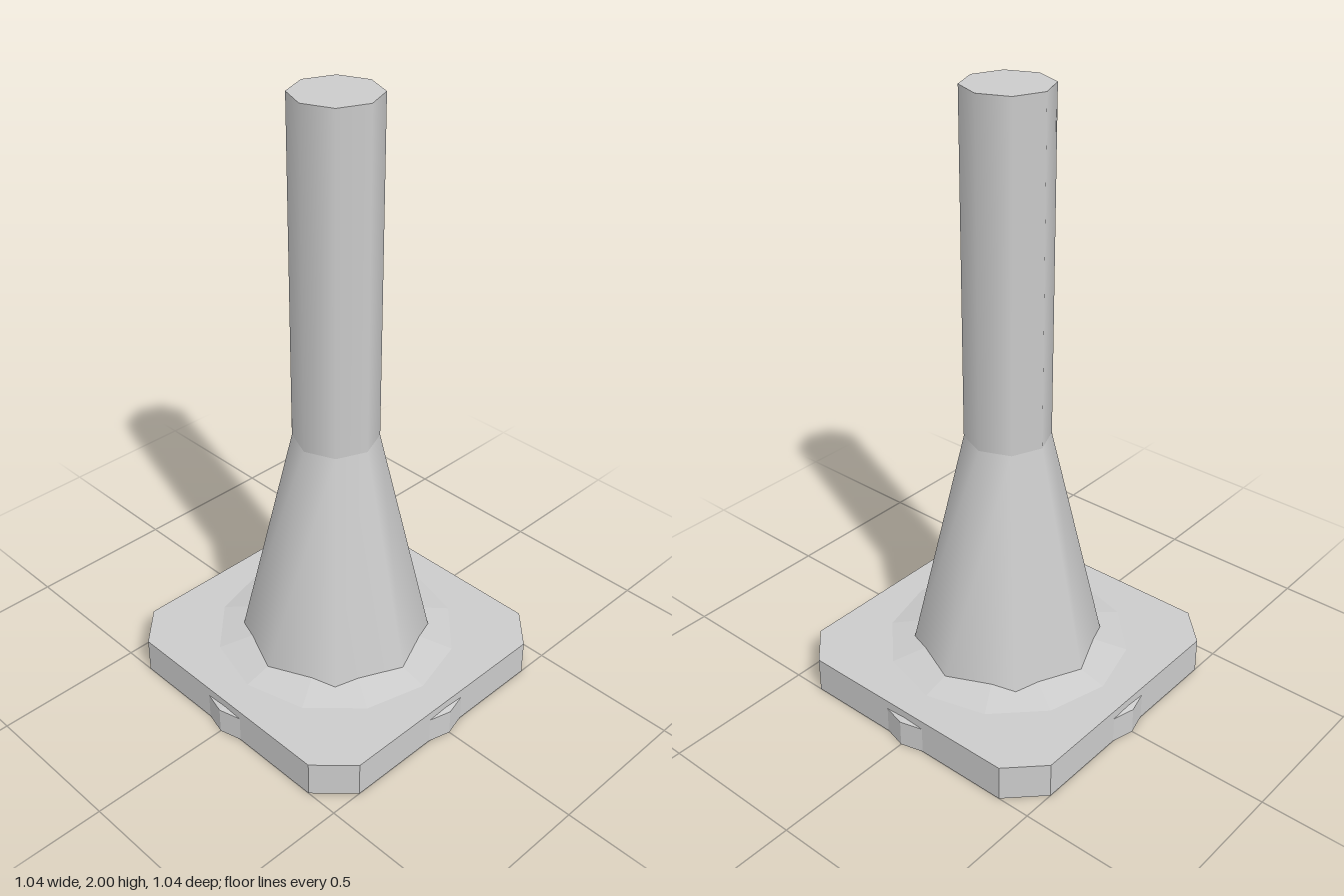
import * as THREE from 'three';

const smooth = new THREE.MeshStandardMaterial({ color: 0xcccccc, side: THREE.DoubleSide });
const flat = new THREE.MeshStandardMaterial({ color: 0xcccccc, side: THREE.DoubleSide, flatShading: true });

export function createModel() {
  const model = new THREE.Group();
  const add = (name, geometry, material, y = 0) => {
    const mesh = new THREE.Mesh(geometry, material);
    mesh.name = name;
    mesh.position.y = y;
    model.add(mesh);
  };
  // Tapered prism standing between two heights
  const prism = (name, rTop, rBottom, y0, y1, sides, material, open) =>
    add(name, new THREE.CylinderGeometry(rTop, rBottom, y1 - y0, sides, 1, open), material, (y0 + y1) / 2);

  // Square base plate with cut corners, hollow underneath
  const half = 0.5, cut = 0.39, plateHeight = 0.12;
  const outline = [
    [half, cut], [cut, half], [-cut, half], [-half, cut],
    [-half, -cut], [-cut, -half], [cut, -half], [half, -cut],
  ].map(([x, z]) => new THREE.Vector2(x, z));
  add('basePlateTop', new THREE.ShapeGeometry(new THREE.Shape(outline)).rotateX(-Math.PI / 2), flat, plateHeight);

  const walls = [];
  outline.forEach((a, i) => {
    const b = outline[(i + 1) % outline.length];
    walls.push(
      a.x, 0, a.y, a.x, plateHeight, a.y, b.x, plateHeight, b.y,
      a.x, 0, a.y, b.x, plateHeight, b.y, b.x, 0, b.y,
    );
  });
  const wallGeometry = new THREE.BufferGeometry();
  wallGeometry.setAttribute('position', new THREE.Float32BufferAttribute(walls, 3));
  wallGeometry.computeVertexNormals();
  add('basePlateWalls', wallGeometry, flat);

  // Twelve-sided collar that pokes through the plate's sides and top
  prism('collarWall', 0.52, 0.52, 0, 0.09, 12, flat, true);
  prism('collarSlope', 0.2, 0.52, 0.09, 0.17, 12, flat, true);

  // Eight-sided flared foot and straight post
  prism('flaredFoot', 0.137, 0.317, 0.115, 0.9, 8, smooth, false);
  prism('post', 0.137, 0.137, 0.9, 2, 8, smooth, false);

  return model;
}
